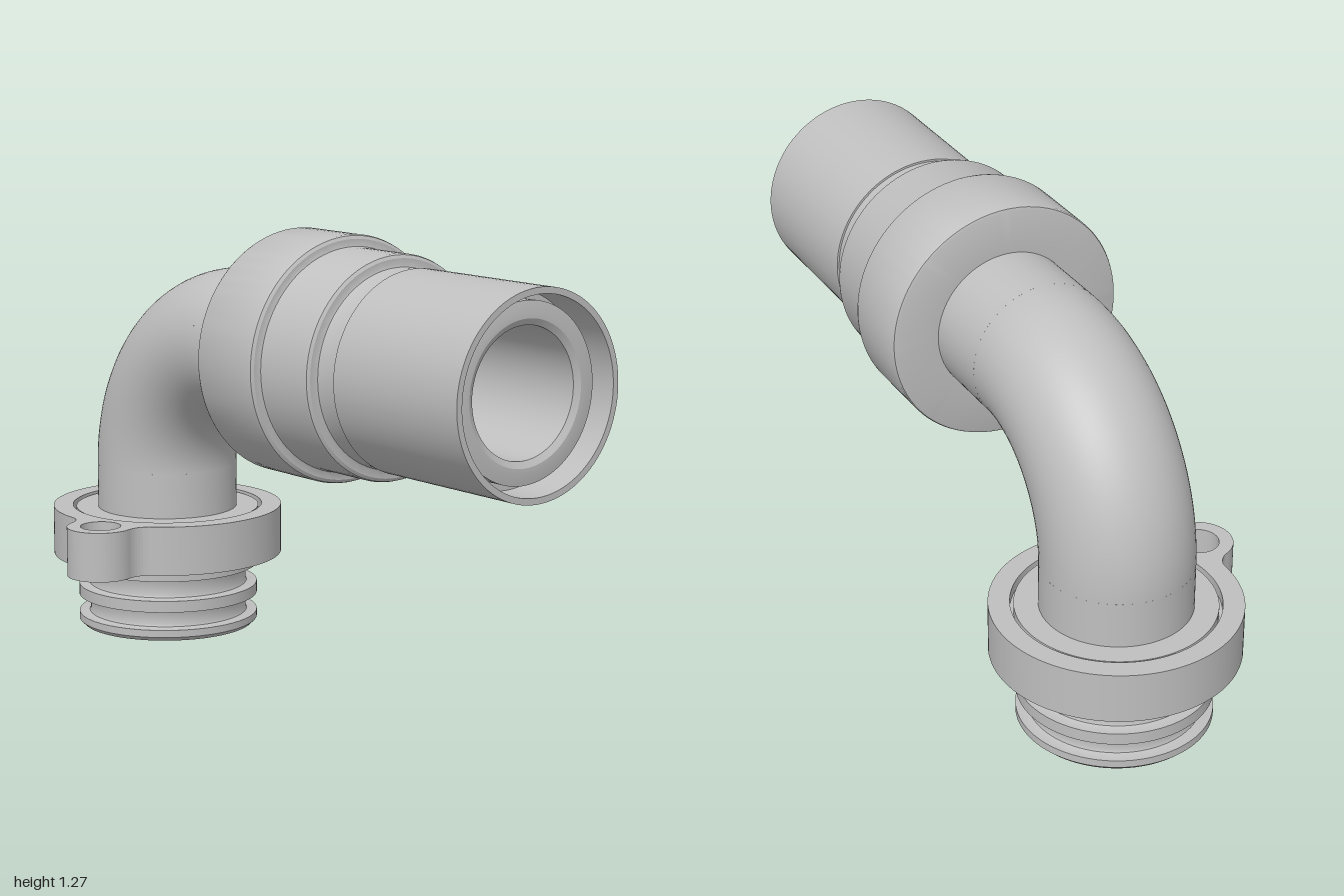
import * as THREE from 'three';
import { toCreasedNormals } from 'three/addons/utils/BufferGeometryUtils.js';

const PIPE_R = 0.213, BORE_R = 0.178, BEND_R = 0.425;
const AXIS_X = -0.65, AXIS_Y = 0.925, AXIS_Z = -0.05;

const crease = (g) => toCreasedNormals(g, Math.PI / 7);

// Revolved body from [radius, height] pairs, outside going up, inside coming down
function revolve(profile) {
  return crease(new THREE.LatheGeometry(profile.map(([r, h]) => new THREE.Vector2(r, h)), 96));
}

// Flange outline: a disc blended into a small round ear by two concave fillets
function flangeShape() {
  const R = 0.35, r = 0.1, f = 0.0625, ex = 0.15, ey = 0.35;
  const d = Math.hypot(ex, ey), a = Math.atan2(ey, ex), P = Math.PI;
  const A = R + f, B = r + f;
  const alpha = Math.acos((A * A + d * d - B * B) / (2 * A * d));
  const beta = Math.acos((B * B + d * d - A * A) / (2 * B * d));
  const s = new THREE.Shape();
  s.absarc(0, 0, R, a + alpha, a - alpha + 2 * P, false);
  s.absarc(A * Math.cos(a - alpha), A * Math.sin(a - alpha), f, a - alpha + P, a + beta, true);
  s.absarc(ex, ey, r, a + P + beta, a + 3 * P - beta, false);
  s.absarc(A * Math.cos(a + alpha), A * Math.sin(a + alpha), f, a - beta + 2 * P, a + alpha + P, true);
  s.closePath();
  for (const [x, y, hr] of [[0, 0, 0.29], [ex, ey, 0.06]]) {
    const hole = new THREE.Path();
    hole.absarc(x, y, hr, 0, 2 * P, true);
    s.holes.push(hole);
  }
  return s;
}

// Quarter bend from vertical to horizontal; inside faces are turned round
function bend(radius, inside) {
  const g = new THREE.TorusGeometry(BEND_R, radius, 64, 48, Math.PI / 2);
  g.rotateZ(Math.PI / 2);
  if (inside) {
    g.index.array.reverse();
    const n = g.attributes.normal;
    for (let i = 0; i < n.array.length; i++) n.array[i] *= -1;
  }
  return g;
}

export function createModel() {
  const model = new THREE.Group();
  model.name = 'elbowFitting';
  const grey = new THREE.MeshStandardMaterial({ color: 0xbfbfbf });
  grey.name = 'lightGrey';

  const add = (name, geometry, x, y) => {
    const mesh = new THREE.Mesh(geometry, grey);
    mesh.name = name;
    mesh.position.set(x, y, AXIS_Z);
    model.add(mesh);
  };

  // Grooved spigot, hub and upright pipe
  add('spigot', revolve([
    [0.23, 0], [0.262, 0], [0.275, 0.013], [0.275, 0.035],
    [0.25, 0.035], [0.243, 0.038], [0.24, 0.045], [0.24, 0.08], [0.243, 0.087], [0.25, 0.09],
    [0.275, 0.09], [0.275, 0.125],
    [0.25, 0.125], [0.243, 0.128], [0.24, 0.135], [0.24, 0.175], [0.243, 0.182], [0.25, 0.185],
    [0.275, 0.185], [0.275, 0.222], [0.29, 0.222], [0.29, 0.34], [0.28, 0.34], [0.28, 0.365],
    [PIPE_R, 0.365], [PIPE_R, 0.5], [BORE_R, 0.5], [BORE_R, 0.34], [0.23, 0.25], [0.23, 0],
  ]), AXIS_X, 0);

  // Flange with bolt ear
  const flange = new THREE.ExtrudeGeometry(flangeShape(), { depth: 0.148, bevelEnabled: false, curveSegments: 64 });
  flange.rotateX(Math.PI / 2);
  add('flange', crease(flange), AXIS_X, 0.37);

  // Bend, outside and bore
  const bx = AXIS_X + BEND_R, by = AXIS_Y - BEND_R;
  add('bendOutside', bend(PIPE_R, false), bx, by);
  add('bendBore', bend(BORE_R, true), bx, by);

  // Level pipe, stepped collars, sleeve and recessed inner pipe
  const coupling = revolve([
    [BORE_R, bx], [PIPE_R, bx], [PIPE_R, -0.01],
    [0.34, -0.01], [0.347, -0.007], [0.35, 0], [0.35, 0.222], [0.347, 0.232], [0.338, 0.237],
    [0.322, 0.237], [0.317, 0.239], [0.315, 0.245],
    [0.315, 0.422], [0.312, 0.432], [0.303, 0.437],
    [0.284, 0.437], [0.279, 0.439], [0.277, 0.445], [0.277, 0.51],
    [0.283, 0.51], [0.283, 1], [0.265, 1], [0.265, 0.88], [0.243, 0.88], [0.243, 0.945],
    [0.213, 0.95], [0.196, 0.95], [BORE_R, 0.94], [BORE_R, bx],
  ]);
  coupling.rotateZ(-Math.PI / 2);
  add('coupling', coupling, 0, AXIS_Y);

  return model;
}
